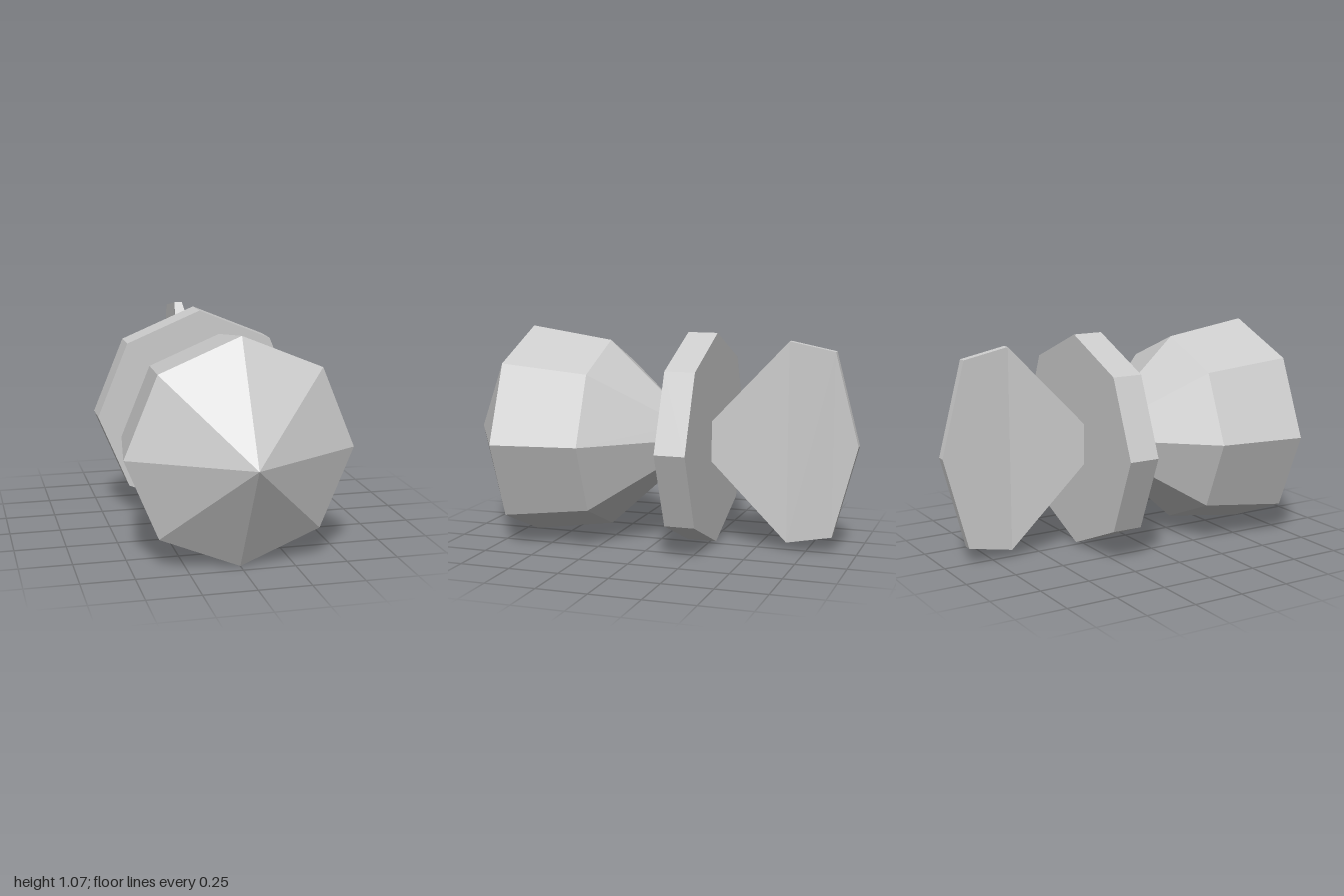
import * as THREE from 'three';

const CENTER_Y = 0.538;
const material = new THREE.MeshStandardMaterial({ color: 0xcccccc, flatShading: true });

function part(name, geometry) {
  const mesh = new THREE.Mesh(geometry, material);
  mesh.name = name;
  mesh.position.y = CENTER_Y;
  return mesh;
}

// Eight-sided pointed body, turned around the z axis: [radius, z]
function bodyGeometry() {
  const profile = [[0, -0.14], [0.1, -0.14], [0.475, 0.27], [0.537, 0.695], [0, 1]];
  return new THREE.LatheGeometry(profile.map(([r, z]) => new THREE.Vector2(r, z)), 8)
    .rotateX(Math.PI / 2);
}

// Octagonal plate behind the body
function plateGeometry() {
  return new THREE.CylinderGeometry(0.526, 0.526, 0.15, 8)
    .rotateX(Math.PI / 2)
    .translate(0, 0, -0.215);
}

// Upright tail fin: a box whose cross-sections follow [z, half width, half height]
function finGeometry() {
  const sections = [[-0.29, 0.09, 0.1], [-0.655, 0.02, 0.497], [-0.88, 0.02, 0.453], [-1, 0.02, 0]];
  const geometry = new THREE.BoxGeometry(2, 2, 1, 1, 1, 3);
  const pos = geometry.attributes.position;
  for (let i = 0; i < pos.count; i++) {
    const [z, w, h] = sections[Math.round((0.5 - pos.getZ(i)) * 3)];
    pos.setXYZ(i, pos.getX(i) * w, pos.getY(i) * h, z);
  }
  geometry.computeVertexNormals();
  return geometry;
}

export function createModel() {
  const group = new THREE.Group();
  group.name = 'finnedCapsule';
  group.add(
    part('body', bodyGeometry()),
    part('plate', plateGeometry()),
    part('tailFin', finGeometry()),
  );
  return group;
}
